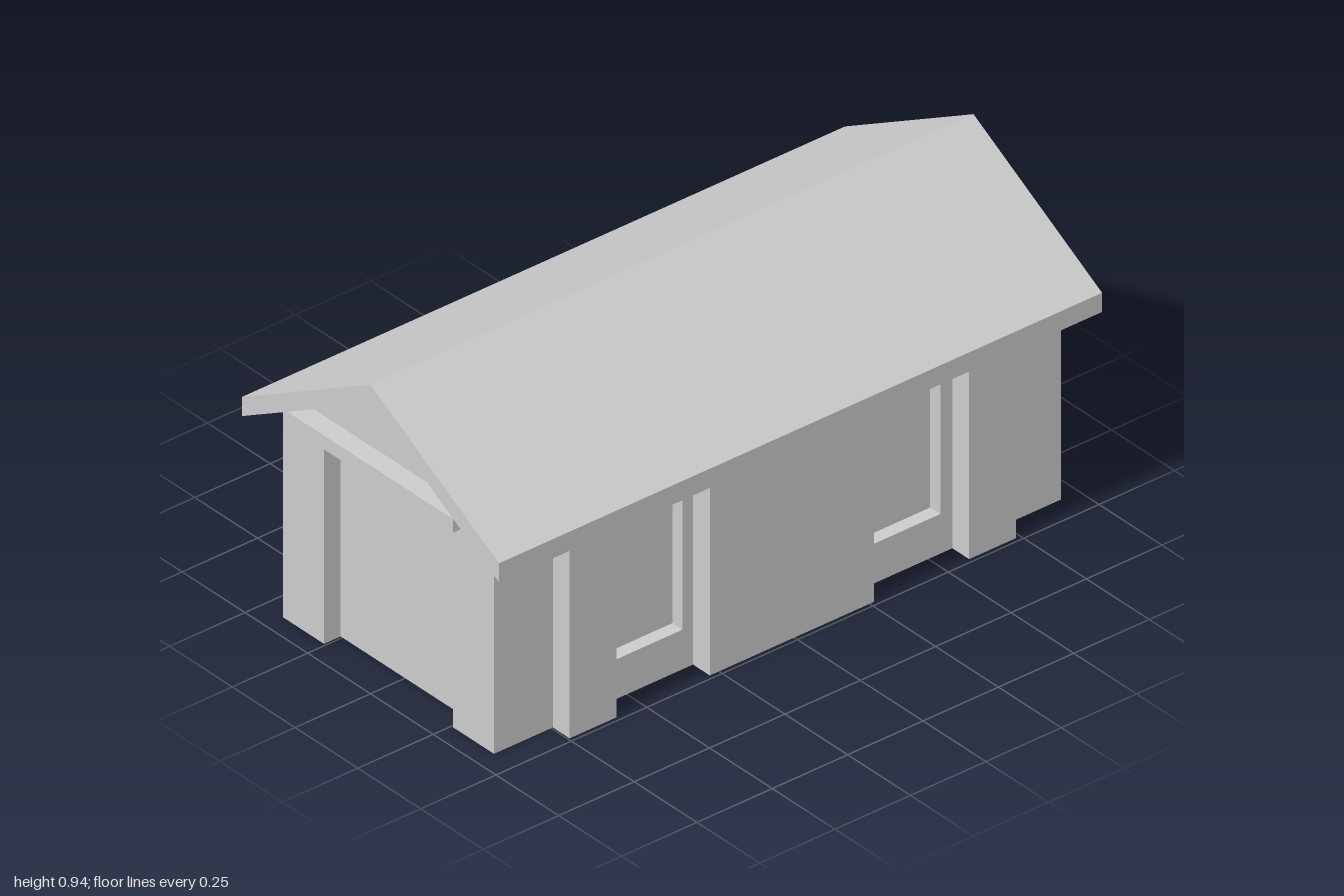
import * as THREE from 'three';

const mat = new THREE.MeshStandardMaterial({ color: 0xcccccc, flatShading: true, side: THREE.DoubleSide });

const WALL = 0.42, BAY = 0.487;      // half widths of main wall and projecting bays
const END = 0.94;                    // half length of the walls
const EAVE = 0.512, RIDGE = 0.877;   // roof underside
const THICK = 0.058;
const under = x => RIDGE - 0.564 * Math.abs(x);

function mesh(name, geometry) {
  const m = new THREE.Mesh(geometry, mat);
  m.name = name;
  return m;
}

// One flat polygon in the XY plane facing +z, with an optional opening
function sheet(name, points, opening) {
  const shape = new THREE.Shape(points.map(p => new THREE.Vector2(...p)));
  if (opening) {
    const { u0, u1, v0, v1 } = opening;
    shape.holes.push(new THREE.Path(
      [[u0, v0], [u0, v1], [u1, v1], [u1, v0]].map(p => new THREE.Vector2(...p))));
  }
  return mesh(name, new THREE.ShapeGeometry(shape));
}

// Inset box behind an opening: jambs, head, back face and (for windows) a sill
function recess(name, { u0, u1, v0, v1 }, d, sill) {
  const quads = [
    [[u0, v0, 0], [u0, v0, -d], [u0, v1, -d], [u0, v1, 0]],
    [[u1, v0, -d], [u1, v0, 0], [u1, v1, 0], [u1, v1, -d]],
    [[u0, v1, -d], [u1, v1, -d], [u1, v1, 0], [u0, v1, 0]],
    [[u0, v0, -d], [u1, v0, -d], [u1, v1, -d], [u0, v1, -d]],
  ];
  if (sill) quads.push([[u0, v0, 0], [u1, v0, 0], [u1, v0, -d], [u0, v0, -d]]);
  const pos = quads.flatMap(([a, b, c, e]) => [a, b, c, a, c, e]).flat();
  const g = new THREE.BufferGeometry();
  g.setAttribute('position', new THREE.Float32BufferAttribute(pos, 3));
  g.computeVertexNormals();
  return mesh(name, g);
}

// Long wall on side s (+1 or -1), stepping between wall plane and bay plane
function sideWall(s) {
  const wall = new THREE.Group();
  wall.name = s > 0 ? 'leftWall' : 'rightWall';
  const steps = [END, 0.745, 0.59, 0.28, -0.265, -0.58, -0.735, -END];
  const windows = { 2: [0.555, 0.315], 4: [-0.3, -0.54] };
  for (let i = 0; i < steps.length - 1; i++) {
    const x = i % 2 ? BAY : WALL, h = under(x);
    const [a, b] = [-s * steps[i], -s * steps[i + 1]].sort((p, q) => p - q);
    const bay = new THREE.Group();
    bay.name = i % 2 ? 'projectingBay' : 'wallSection';
    bay.rotation.y = s * Math.PI / 2;
    bay.position.x = s * x;
    let opening;
    if (windows[i]) {
      const [u0, u1] = windows[i].map(z => -s * z).sort((p, q) => p - q);
      opening = { u0, u1, v0: 0.12, v1: 0.52 };
      bay.add(recess('windowRecess', opening, 0.04, true));
    }
    bay.add(sheet('wallFace', [[a, 0], [b, 0], [b, h], [a, h]], opening));
    wall.add(bay);
  }
  // Returns joining the two planes, cut to the roof slope
  for (let i = 1; i < steps.length - 1; i++) {
    const f = i % 2 ? 1 : -1;        // facing +z or -z
    const r = sheet('bayReturn', [[WALL, 0], [BAY, 0], [BAY, under(BAY)], [WALL, under(WALL)]]
      .map(([x, y]) => [f * s * x, y]));
    r.rotation.y = f > 0 ? 0 : Math.PI;
    r.position.z = steps[i];
    wall.add(r);
  }
  return wall;
}

export function createModel() {
  const model = new THREE.Group();
  model.name = 'building';

  model.add(sideWall(1), sideWall(-1));

  // Gable ends
  const h = under(WALL);
  const back = sheet('backGable', [[-WALL, 0], [WALL, 0], [WALL, h], [0, RIDGE], [-WALL, h]]);
  back.rotation.y = Math.PI;
  back.position.z = -END;
  const D = 0.257, DH = 0.598;
  const front = new THREE.Group();
  front.name = 'frontGable';
  front.position.z = END;
  front.add(
    sheet('frontWall', [[-WALL, 0], [-D, 0], [-D, DH], [D, DH], [D, 0], [WALL, 0],
      [WALL, h], [0, RIDGE], [-WALL, h]]),
    recess('doorRecess', { u0: -D, u1: D, v0: 0, v1: DH }, 0.055, false));
  model.add(back, front);

  // Beam across the front gable
  const beam = mesh('gableBeam', new THREE.BoxGeometry(0.656, 0.042, 0.06));
  beam.position.set(0, 0.669, 0.97);
  model.add(beam);

  // Pitched roof slab with plumb eaves
  const e = under(EAVE);
  const profile = new THREE.Shape([[-EAVE, e], [0, RIDGE], [EAVE, e],
    [EAVE, e + THICK], [0, RIDGE + THICK], [-EAVE, e + THICK]].map(p => new THREE.Vector2(...p)));
  const roof = mesh('roof', new THREE.ExtrudeGeometry(profile, { depth: 2, bevelEnabled: false }));
  roof.position.z = -1;
  model.add(roof);

  return model;
}
